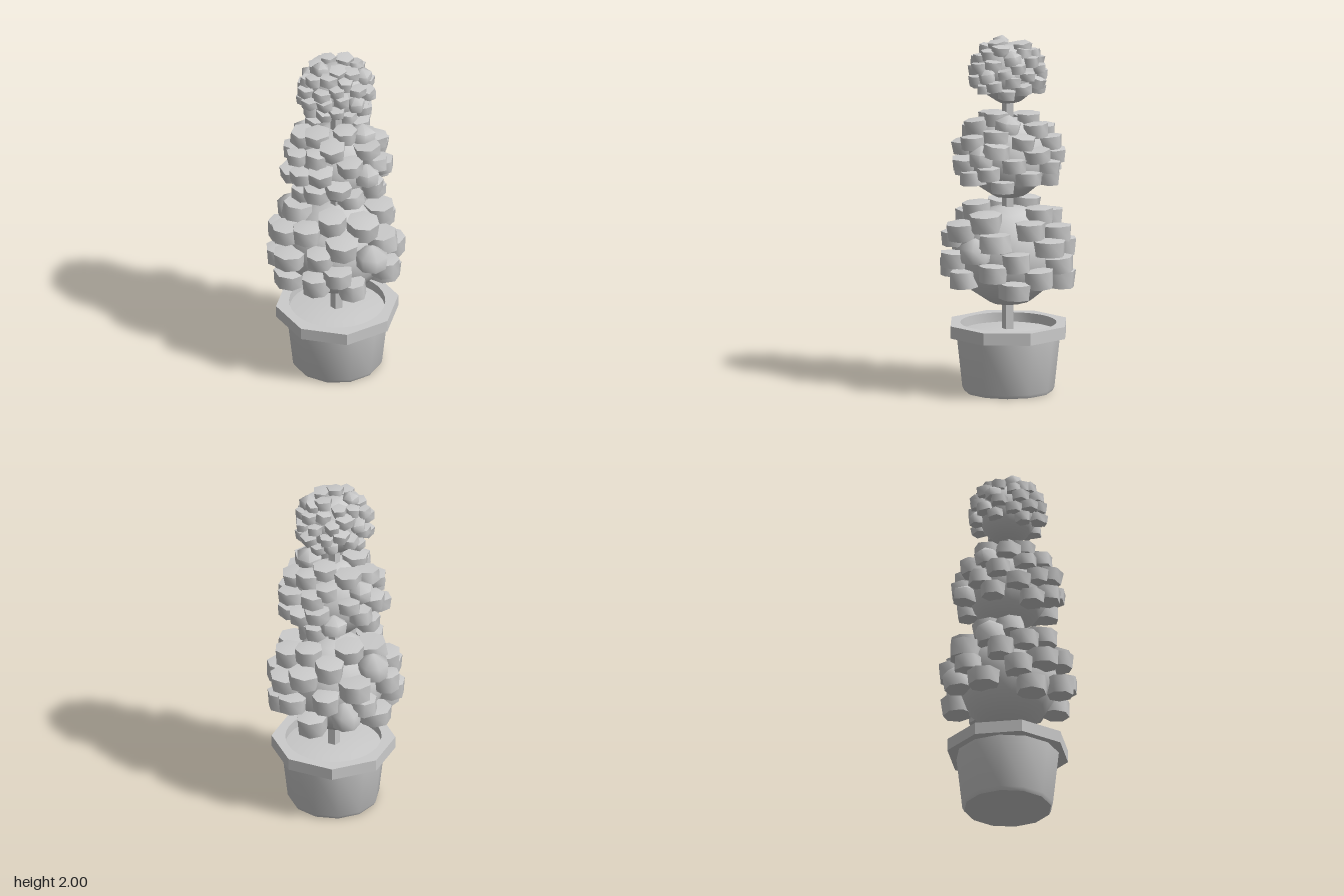
import * as THREE from 'three';
import { toCreasedNormals } from 'three/addons/utils/BufferGeometryUtils.js';

const material = new THREE.MeshStandardMaterial({ color: 0xcccccc, side: THREE.DoubleSide });

// Small seeded generator for natural variation
let seed = 7;
const rand = () => {
  seed = (seed * 16807) % 2147483647;
  return seed / 2147483647;
};
const vary = (amount) => (rand() * 2 - 1) * amount;

function addMesh(parent, name, geometry, crease = 0.7) {
  const mesh = new THREE.Mesh(toCreasedNormals(geometry, crease), material);
  mesh.name = name;
  parent.add(mesh);
  return mesh;
}

function lathe(points, sides) {
  return new THREE.LatheGeometry(points.map(([r, y]) => new THREE.Vector2(r, y)), sides);
}

// Leaf clump: short prism with soft sides and a low cap, now and then a tall point
function clumpGeometry(sides, pointed, flipped) {
  const cap = pointed ? 1 : 0.5 + rand() * 0.08;
  const geometry = lathe([[0, -0.5], [0.92, -0.48], [1, 0.42], [0, cap]], sides);
  if (flipped) geometry.rotateX(Math.PI);
  return geometry;
}

// Round foliage ball: bare smooth core with clumps over all but its underside
function foliageBall({ name, x, y, core, reach, count, sides, size, height, tilt, low, high }) {
  const ball = new THREE.Group();
  ball.name = name;
  ball.position.set(x, y, 0);

  const coreMesh = addMesh(ball, 'foliageCore', new THREE.SphereGeometry(core, 12, 7), 0.8);
  coreMesh.rotation.set(0.08, 0.3, -0.1);

  for (let i = 0; i < count; i++) {
    const up = low + (high - low) * ((i + 0.5) / count);
    const angle = i * 2.39996 + vary(0.15);
    const ring = Math.sqrt(1 - up * up) * reach;
    const scale = size * (1 + vary(0.1));
    const clump = addMesh(ball, 'leafClump', clumpGeometry(sides, i % 9 === 7, i % 9 === 3), 1.3);
    clump.position.set(Math.cos(angle) * ring, up * reach, Math.sin(angle) * ring);
    clump.rotation.set(vary(tilt), rand() * Math.PI * 2, vary(tilt));
    clump.scale.set(scale, height * (1 + vary(0.12)), scale);
  }
  return ball;
}

// Eight-cornered rim slab with a round opening
function rimGeometry() {
  const corners = [];
  for (let i = 0; i < 8; i++) {
    const a = ((i + 0.5) * Math.PI) / 4;
    corners.push(new THREE.Vector2(Math.cos(a) * 0.345, Math.sin(a) * 0.345));
  }
  const shape = new THREE.Shape(corners);
  shape.holes.push(new THREE.Path().absarc(0, 0, 0.268, 0, Math.PI * 2, true));
  const options = { depth: 0.069, bevelEnabled: false, curveSegments: 16 };
  return new THREE.ExtrudeGeometry(shape, options).rotateX(-Math.PI / 2);
}

export function createModel() {
  seed = 7;
  const model = new THREE.Group();
  model.name = 'pottedTopiary';

  // Tapered pot with an open top
  const planter = new THREE.Group();
  planter.name = 'planter';
  planter.position.x = 0.01;
  model.add(planter);
  addMesh(planter, 'pot', lathe([[0, 0], [0.245, 0], [0.256, 0.02], [0.29, 0.33]], 12));

  // Thick overhanging rim
  addMesh(planter, 'potRim', rimGeometry()).position.y = 0.32;

  // Slightly mounded soil
  addMesh(planter, 'soil', lathe([[0.275, 0.335], [0.15, 0.35], [0, 0.355]], 14));

  // Straight trunk through all three balls
  const trunk = addMesh(model, 'trunk', new THREE.CylinderGeometry(0.034, 0.036, 1.5, 5));
  trunk.position.set(0.008, 1.07, 0);

  // Three foliage balls, large to small
  const balls = [
    { name: 'lowerBall', x: 0, y: 0.77, core: 0.285, reach: 0.312, count: 34, sides: 7, size: 0.087, height: 0.1, tilt: 0.07, low: -0.5, high: 0.89 },
    { name: 'middleBall', x: 0.01, y: 1.325, core: 0.23, reach: 0.25, count: 38, sides: 6, size: 0.073, height: 0.077, tilt: 0.1, low: -0.52, high: 0.95 },
    { name: 'upperBall', x: 0.005, y: 1.8, core: 0.168, reach: 0.18, count: 46, sides: 5, size: 0.05, height: 0.054, tilt: 0.15, low: -0.5, high: 0.94 },
  ];
  balls.forEach((ball) => model.add(foliageBall(ball)));

  return model;
}
